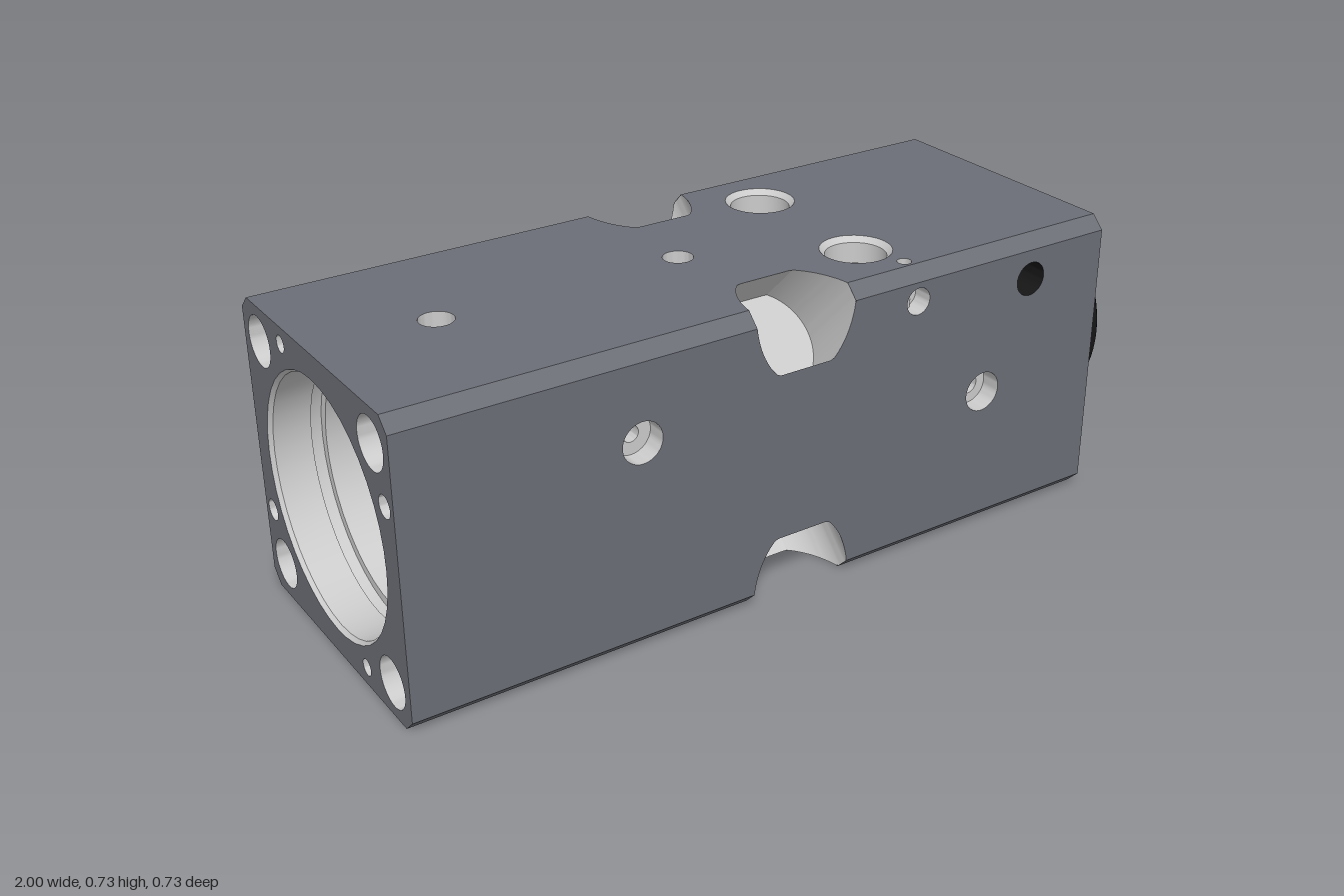
import * as THREE from 'three';
import { toCreasedNormals } from 'three/addons/utils/BufferGeometryUtils.js';

const H = 0.367;            // half height and half depth of the block
const CH = 0.032;           // long edge chamfer
const X0 = -1, X1 = 0.88;   // block ends
const SEG = 40;
// Edge pocket: a diagonal bore with two flats
const PX = -0.005, PR = 0.135, PFLAT = 0.113, PDEPTH = 0.247;

const paint = (color) => new THREE.MeshStandardMaterial({ color, side: THREE.DoubleSide });

export function createModel() {
  const bodyMat = paint(0x6b6e76), boreMat = paint(0xcccccc), blackMat = paint(0x161616);

  const mesh = (name, geo, mat, parent) => {
    const m = new THREE.Mesh(geo, mat);
    m.name = name;
    parent.add(m);
    return m;
  };

  // Turned surface from [radius, height] pairs, axis along local z
  const turned = (pairs, segments = SEG) => {
    const g = new THREE.LatheGeometry(pairs.map(([r, h]) => new THREE.Vector2(r, h)), segments);
    g.rotateX(Math.PI / 2);
    return toCreasedNormals(g, 0.6);
  };

  // Flat plate at local z with holes; each hole is { x, s, name, steps: [[radius, -depth], ...], mat }
  const plate = (name, outline, z, holes, parent) => {
    const shape = new THREE.Shape(outline);
    for (const h of holes) {
      const path = new THREE.Path();
      path.absarc(h.x, h.s, h.steps[0][0], 0, Math.PI * 2, true);
      shape.holes.push(path);
      const inner = mesh(h.name, turned(h.steps), h.mat || boreMat, parent);
      inner.position.set(h.x, h.s, z);
    }
    mesh(name, new THREE.ShapeGeometry(shape, SEG / 2), bodyMat, parent).position.z = z;
  };

  // Hole types
  const blind = (x, s, r, d) =>
    ({ x, s, name: 'blindHole', steps: [[r, 0], [r, -d], [0, -d]] });
  const stepped = (x, s, r, d, r2, d2) =>
    ({ x, s, name: 'counterboredHole', steps: [[r, 0], [r, -d], [r2, -d], [r2, -d2], [0, -d2]] });
  const through = (x, s, r, d, r2) =>
    ({ x, s, name: 'throughHole', steps: [[r, 0], [r, -d], [r2, -d], [r2, -H]] });

  const V = (x, y) => new THREE.Vector2(x, y);

  // Half outline of a pocket where it breaks through a face, as [x, depth from edge]
  const a0 = Math.asin(CH / Math.SQRT2 / PR);
  const half = [];
  for (let i = 0; i <= 32; i++) {
    const a = Math.PI - a0 - (i / 32) * (Math.PI - 2 * a0);
    half.push([PX + PR * Math.cos(a), Math.SQRT2 * Math.min(PFLAT, PR * Math.sin(a))]);
  }

  // Outline of a long face, with a pocket notch in each long edge
  const e = H - CH;
  const sideOutline = [
    V(X0, -e), ...half.map(([x, t]) => V(x, -H + t)), V(X1, -e),
    V(X1, e), ...half.slice().reverse().map(([x, t]) => V(x, H - t)), V(X0, e),
  ];

  // Cross-section of the pocket: a circle with two flats
  const section = [];
  for (let i = 0; i < 96; i++) {
    const a = (i / 96) * Math.PI * 2;
    section.push(V(PX + PR * Math.cos(a), THREE.MathUtils.clamp(PR * Math.sin(a), -PFLAT, PFLAT)));
  }

  // Pocket wall, with the mouth trimmed to the block's faces and chamfer
  const pocketWall = () => {
    const pos = [], idx = [], n = section.length;
    section.forEach(({ x, y }, i) => {
      pos.push(x, y, -Math.max(Math.abs(y), CH / Math.SQRT2), x, y, -PDEPTH);
      const a = 2 * i, b = 2 * ((i + 1) % n);
      idx.push(a, a + 1, b, b, a + 1, b + 1);
    });
    const g = new THREE.BufferGeometry();
    g.setAttribute('position', new THREE.Float32BufferAttribute(pos, 3));
    g.setIndex(idx);
    return toCreasedNormals(g, 0.4);
  };

  const model = new THREE.Group();
  const core = new THREE.Group();
  core.name = 'block';
  core.position.y = H;
  model.add(core);

  // Long faces: name, turn about x, holes in face coordinates
  const sides = [
    ['front', 0, [
      stepped(-0.43, 0.148, 0.05, 0.05, 0.02, 0.09),
      through(0.31, 0.288, 0.033, 0.05, 0.016),
      { ...blind(0.655, 0.261, 0.042, 0.1), mat: blackMat },
      stepped(0.525, 0, 0.05, 0.05, 0.025, 0.12),
    ]],
    ['top', -Math.PI / 2, [
      blind(-0.71, 0, 0.04, 0.06),
      blind(-0.1, 0, 0.036, 0.08),
      ...[-0.19, 0.19].map((s) => ({
        x: 0.265, s, name: 'boltHole',
        steps: [[0.085, 0], [0.072, -0.013], [0.072, -0.1], [0.046, -0.1], [0.046, -H]],
      })),
      through(0.31, -0.31, 0.017, 0.05, 0.017),
    ]],
    ['back', Math.PI, [
      through(0.31, -0.288, 0.02, 0.05, 0.016),
      blind(0.655, -0.261, 0.028, 0.1),
    ]],
    ['bottom', Math.PI / 2, [
      blind(-0.1, 0, 0.036, 0.08),
      ...[-0.19, 0.19].map((s) => through(0.265, s, 0.048, 0.05, 0.046)),
      through(0.31, 0.31, 0.017, 0.05, 0.017),
    ]],
  ];

  for (const [name, turn, holes] of sides) {
    const side = new THREE.Group();
    side.name = name + 'Side';
    side.rotation.x = turn;
    core.add(side);
    plate(name + 'Face', sideOutline, H, holes, side);

    // Chamfer and pocket on this face's upper edge
    const edge = new THREE.Group();
    edge.name = 'edge';
    edge.position.set(0, H, H);
    edge.rotation.x = -Math.PI / 4;
    side.add(edge);
    for (const [a, b] of [[X0, half[0][0]], [half[half.length - 1][0], X1]]) {
      const strip = mesh('edgeChamfer', new THREE.PlaneGeometry(b - a, CH * Math.SQRT2), bodyMat, edge);
      strip.position.set((a + b) / 2, 0, -CH / Math.SQRT2);
    }
    mesh('pocketWall', pocketWall(), boreMat, edge);
    mesh('pocketFloor', new THREE.ShapeGeometry(new THREE.Shape(section)), boreMat, edge).position.z = -PDEPTH;
  }

  // End faces share an eight-sided outline
  const endOutline = [
    V(-e, -H), V(e, -H), V(H, -e), V(H, e), V(e, H), V(-e, H), V(-H, e), V(-H, -e),
  ];

  // Right-hand end of the x axis is the model's left; named here by function
  const boreEnd = new THREE.Group();
  boreEnd.name = 'boreEnd';
  boreEnd.rotation.y = -Math.PI / 2;
  core.add(boreEnd);
  const corners = [[1, 1], [1, -1], [-1, 1], [-1, -1]].map(([i, j]) =>
    stepped(0.282 * i, 0.282 * j, 0.06, 0.12, 0.035, 0.2));
  plate('boreEndFace', endOutline, -X0, [
    {
      x: 0, s: 0, name: 'mainBore',
      steps: [[0.305, 0], [0.298, -0.01], [0.298, -0.1], [0.31, -0.1], [0.31, -0.13],
        [0.288, -0.13], [0.288, -0.7], [0.265, -0.7], [0.265, -1.1], [0.139, -1.1], [0.139, -1.88]],
    },
    ...corners,
    blind(-0.155, 0.325, 0.02, 0.08), blind(0.15, -0.32, 0.02, 0.08),
    blind(0.325, 0.16, 0.026, 0.08), blind(-0.325, -0.16, 0.026, 0.08),
  ], boreEnd);

  // Collar end: two dowel holes and the black collar with its liner
  const collarEnd = new THREE.Group();
  collarEnd.name = 'collarEnd';
  collarEnd.rotation.y = Math.PI / 2;
  core.add(collarEnd);
  plate('collarEndFace', endOutline, X1, [
    { x: 0, s: 0, name: 'collarSeat', steps: [[0.2, 0], [0.2, -0.01]] },
    blind(-0.263, -0.262, 0.028, 0.12), blind(0.261, 0.262, 0.028, 0.12),
  ], collarEnd);
  mesh('collar', turned([
    [0.257, 0.87], [0.257, 0.892], [0.277, 0.902], [0.277, 0.993], [0.271, 1],
    [0.174, 1], [0.167, 0.993], [0.167, 0.95], [0.15, 0.94], [0.15, 0.86],
    [0.137, 0.85], [0.137, 0.4],
  ], 72), blackMat, collarEnd);

  return model;
}
